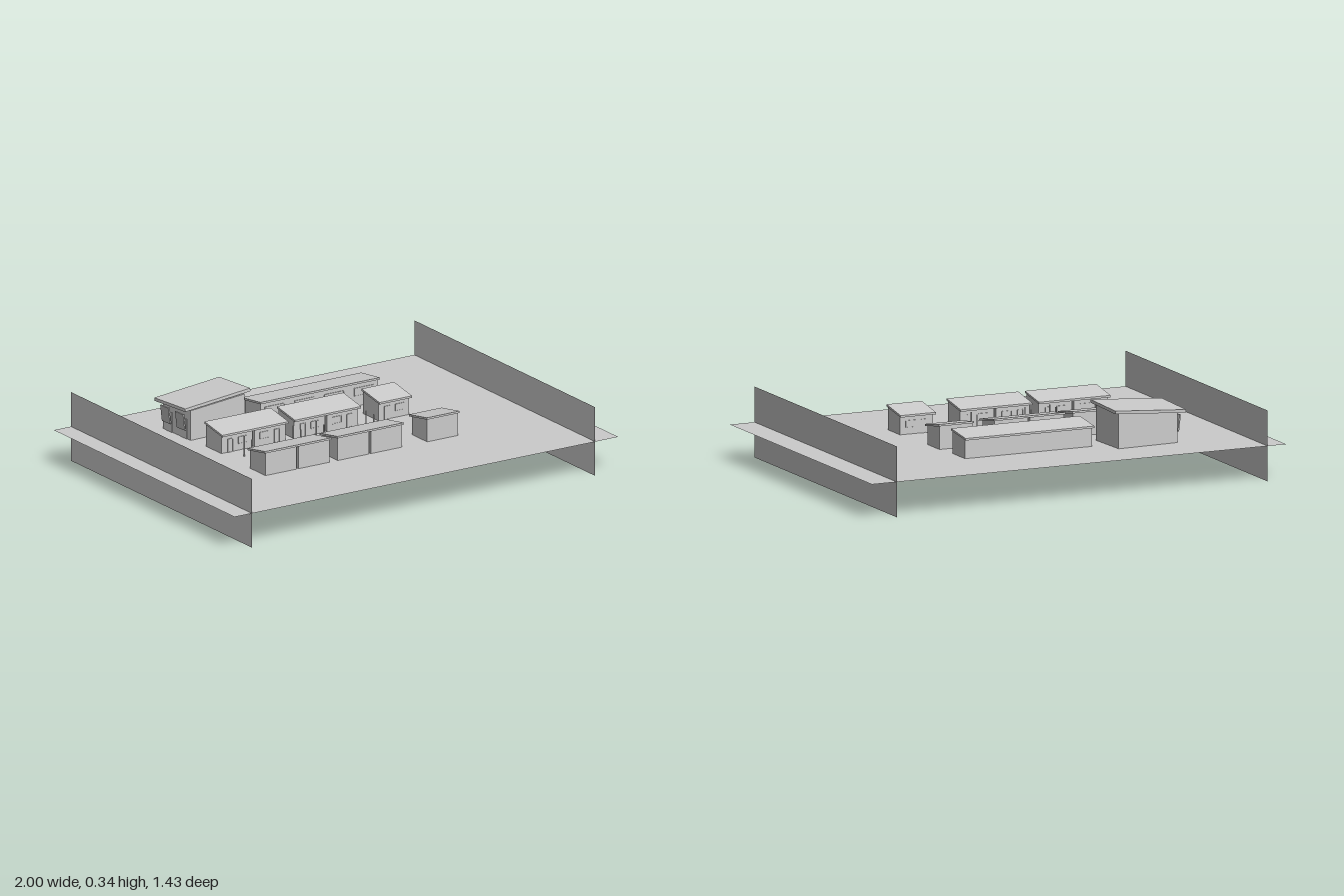
import * as THREE from 'three';

const GROUND = 0.157;
const BASE = 0.155;
const material = new THREE.MeshStandardMaterial({ color: 0xcccccc, flatShading: true });
const sheetMaterial = new THREE.MeshStandardMaterial({ color: 0xcccccc, side: THREE.DoubleSide });

function add(parent, name, geometry, x = 0, y = 0, z = 0, mat = material) {
  const mesh = new THREE.Mesh(geometry, mat);
  mesh.name = name;
  mesh.position.set(x, y, z);
  parent.add(mesh);
  return mesh;
}

const box = (w, h, d) => new THREE.BoxGeometry(w, h, d);

// Prism with a profile in z and y, running from x0 to x1
function prismX(points, x0, x1) {
  const shape = new THREE.Shape(points.map(([z, y]) => new THREE.Vector2(-z, y)));
  const g = new THREE.ExtrudeGeometry(shape, { depth: x1 - x0, bevelEnabled: false });
  return g.rotateY(Math.PI / 2).translate(x0, 0, 0);
}

// Prism with a profile in x and y, running from z0 to z1
function prismZ(points, z0, z1) {
  const shape = new THREE.Shape(points.map(([x, y]) => new THREE.Vector2(x, y)));
  const g = new THREE.ExtrudeGeometry(shape, { depth: z1 - z0, bevelEnabled: false });
  return g.translate(0, 0, z0);
}

// Door or window frame with a thin pane, on a wall facing dir along z
function opening(parent, name, x, y, z, w, h) {
  const t = 0.003;
  const frame = new THREE.Group();
  frame.name = name;
  frame.position.set(x, y, z);
  for (const s of [-1, 1]) {
    add(frame, 'jamb', box(t, h, 0.005), s * w / 2, 0, 0);
    add(frame, 'rail', box(w, t, 0.005), 0, s * h / 2, 0);
  }
  add(frame, 'pane', box(w, h, 0.002));
  parent.add(frame);
}

// Building of side-by-side units under a single-slope roof; zHigh is the tall side
function shedHouse(root, name, { x0, x1, zHigh, zLow, units = 1, yHigh = 0.27, yLow = 0.246, doors = true }) {
  const house = new THREE.Group();
  house.name = name;
  const dir = Math.sign(zLow - zHigh);
  const t = 0.009;
  const roofY = z => yHigh + (yLow - yHigh) * (z - zHigh) / (zLow - zHigh);
  const wallHigh = zHigh + dir * 0.006, wallLow = zLow - dir * 0.016;
  const width = (x1 - x0) / units;
  for (let i = 0; i < units; i++) {
    const a = x0 + i * width, b = a + width;
    add(house, 'roof', prismX([
      [zHigh, yHigh], [zLow, yLow], [zLow, yLow - t], [zHigh, yHigh - t]], a, b));
    add(house, 'walls', prismX([
      [wallHigh, BASE], [wallLow, BASE],
      [wallLow, roofY(wallLow) - t], [wallHigh, roofY(wallHigh) - t]], a + 0.005, b - 0.005));
    if (!doors) continue;
    // Door and window on the low side, mirrored between neighbours
    const m = i % 2 ? -1 : 1, mid = (a + b) / 2, z = wallLow + dir * 0.001;
    opening(house, 'door', mid - m * 0.035, GROUND + 0.03, z, 0.026, 0.06);
    opening(house, 'window', mid + m * 0.03, GROUND + 0.045, z, 0.045, 0.03);
  }
  root.add(house);
}

export function createModel() {
  const root = new THREE.Group();
  root.name = 'settlement';

  // Ground sheet and the two upright end sheets
  add(root, 'ground', new THREE.PlaneGeometry(2, 1.43).rotateX(-Math.PI / 2), 0, GROUND, 0, sheetMaterial);
  for (const x of [-0.91, 0.88]) {
    add(root, 'endSheet', new THREE.PlaneGeometry(1.43, 0.315).rotateY(Math.PI / 2), x, 0.1575, 0, sheetMaterial);
  }

  // Two rows facing each other over the courtyard
  const front = { zHigh: 0.32, zLow: 0.178 };
  const middle = { zHigh: -0.17, zLow: -0.028 };
  shedHouse(root, 'frontHouseRight', { ...front, x0: -0.58, x1: -0.235, units: 2 });
  shedHouse(root, 'frontHouseCentre', { ...front, x0: -0.203, x1: 0.143, units: 2 });
  shedHouse(root, 'frontHouseLeft', { ...front, x0: 0.263, x1: 0.433 });
  shedHouse(root, 'middleHouseRight', { ...middle, x0: -0.574, x1: -0.229, units: 2 });
  shedHouse(root, 'middleHouseCentre', { ...middle, x0: -0.196, x1: 0.15, units: 2 });
  shedHouse(root, 'middleHouseLeft', { ...middle, x0: 0.245, x1: 0.415 });

  // Long building at the back
  shedHouse(root, 'longBuilding', {
    x0: -0.222, x1: 0.4, zHigh: -0.26, zLow: -0.407, yHigh: 0.268, yLow: 0.25, doors: false });
  for (let i = 0; i < 4; i++) {
    opening(root, 'longBuildingWindow', -0.145 + i * 0.155, 0.222, -0.265, 0.1, 0.035);
  }

  // Tall building, turned slightly, roof rising towards +x
  const hall = new THREE.Group();
  hall.name = 'tallBuilding';
  hall.position.set(-0.448, 0, -0.378);
  hall.rotation.y = 0.043;
  const roof = add(hall, 'tallRoof', prismZ([
    [-0.175, -0.025], [0.175, 0.002], [0.175, 0.016], [-0.175, -0.011]], -0.115, 0.115), 0, 0.318, 0);
  roof.rotation.x = -0.045;
  add(hall, 'tallWalls', prismZ([
    [-0.137, BASE], [0.153, BASE], [0.153, 0.314], [-0.137, 0.293]], -0.104, 0.104));
  for (const z of [-0.055, 0.055]) {
    // Tilted shutters and doorways on the -x side
    const shutter = add(hall, 'shutter', box(0.006, 0.075, 0.06), -0.157, 0.238, z);
    shutter.rotation.z = 0.12;
    add(hall, 'shutterArm', box(0.025, 0.004, 0.004), -0.147, 0.262, z);
    add(hall, 'doorway', box(0.004, 0.09, 0.045), -0.138, GROUND + 0.045, z);
  }
  root.add(hall);

  // Courtyard posts and low benches
  for (const [x0, x1, b0, b1] of [[-0.505, -0.25, -0.47, -0.37], [-0.13, 0.13, -0.095, 0.005]]) {
    for (const x of [x0, x1]) {
      for (const z of [0.04, 0.1]) {
        add(root, 'post', new THREE.CylinderGeometry(0.003, 0.003, 0.105, 8), x, 0.1965, z);
      }
    }
    add(root, 'bench', box(b1 - b0, 0.025, 0.004), (b0 + b1) / 2, GROUND + 0.0125, 0.1);
  }
  return root;
}
